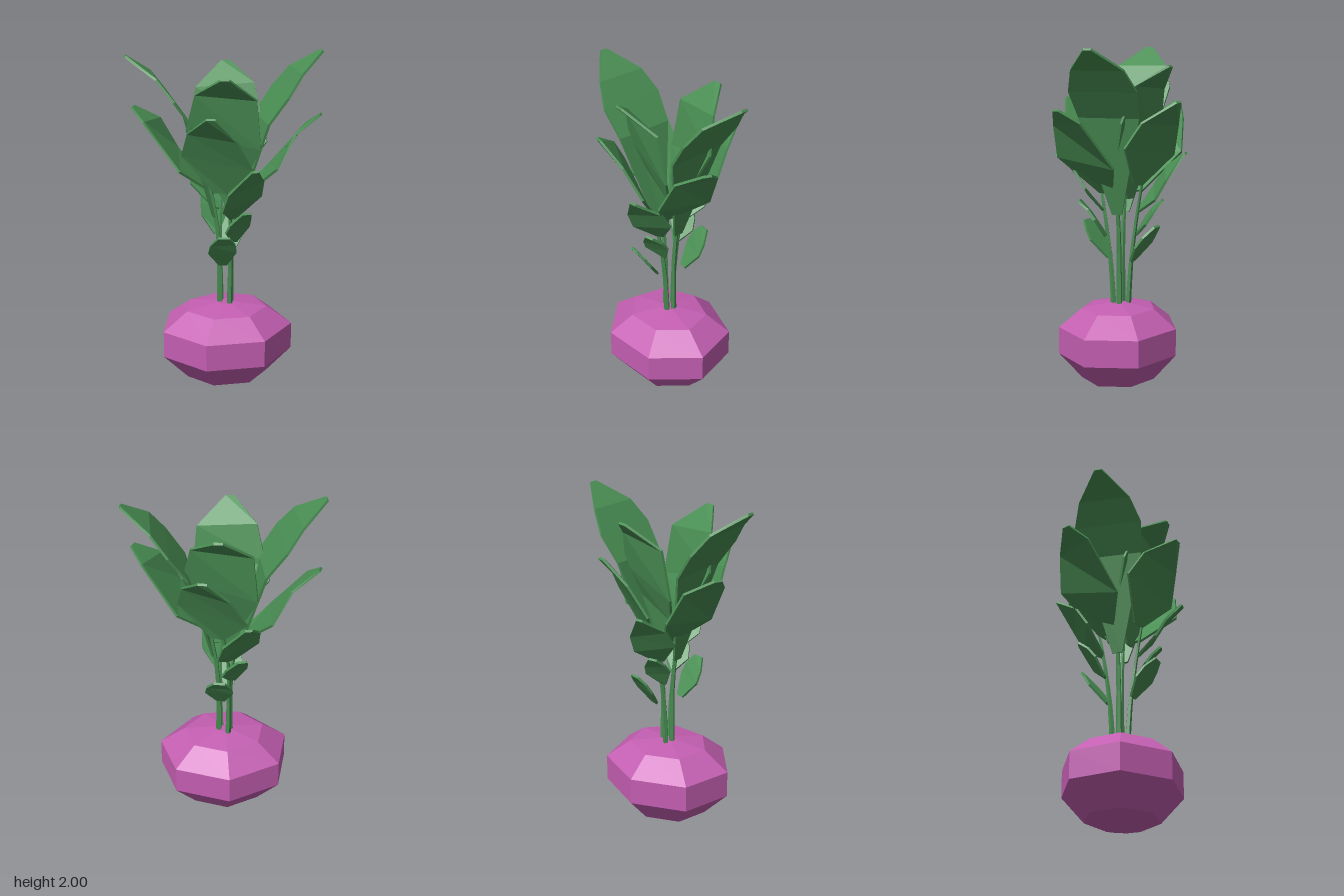
import * as THREE from 'three';

const V = (a) => new THREE.Vector3(...a);
const green = new THREE.MeshStandardMaterial({ color: 0x4a8f54, flatShading: true });
const purple = new THREE.MeshStandardMaterial({ color: 0xc45fb2, flatShading: true });

function part(name, geometry, material) {
  const mesh = new THREE.Mesh(geometry, material);
  mesh.name = name;
  return mesh;
}

// Thin bent leaf; each station is [middle, half-width vector], from base to tip
function leafGeometry(stations, thickness = 0.014) {
  const points = stations.map(([mid]) => V(mid));
  const last = points.length - 1;
  const positions = [], index = [];
  stations.forEach(([, half], i) => {
    const tangent = points[Math.min(i + 1, last)].clone().sub(points[Math.max(i - 1, 0)]);
    const h = V(half);
    const n = h.clone().cross(tangent).setLength(thickness / 2);
    for (const [a, b] of [[1, 1], [-1, 1], [-1, -1], [1, -1]]) {
      positions.push(...points[i].clone().addScaledVector(h, a).addScaledVector(n, b).toArray());
    }
  });
  const quad = (a, b, c, d) => index.push(a, b, c, a, c, d);
  for (let i = 0; i < last; i++) {
    for (let j = 0; j < 4; j++) {
      const a = i * 4 + j, b = i * 4 + (j + 1) % 4;
      quad(a, a + 4, b + 4, b);
    }
  }
  const top = last * 4;
  quad(0, 1, 2, 3);
  quad(top + 3, top + 2, top + 1, top);
  const geometry = new THREE.BufferGeometry();
  geometry.setAttribute('position', new THREE.Float32BufferAttribute(positions, 3));
  geometry.setIndex(index);
  geometry.computeVertexNormals();
  return geometry;
}

// Five-sided stem that thins towards its tip
function stemGeometry(path, rings = 6, sides = 5) {
  const curve = new THREE.CatmullRomCurve3(path.map(V));
  const geometry = new THREE.TubeGeometry(curve, rings, 0.018, sides);
  const position = geometry.attributes.position;
  const p = new THREE.Vector3();
  for (let i = 0; i < position.count; i++) {
    const t = Math.floor(i / (sides + 1)) / rings;
    p.fromBufferAttribute(position, i).lerp(curve.getPointAt(t), 0.55 * t);
    position.setXYZ(i, p.x, p.y, p.z);
  }
  return geometry;
}

// Leaves of one half of the plant
const LEAVES = {
  tallOuterLeaf: [
    [[0.07, 1.045, 0], [0, 0, 0.03]], [[0.215, 1.615, 0], [0, 0, 0.18]], [[0.32, 1.765, 0], [0, 0, 0.2]],
    [[0.41, 1.885, 0], [0, 0, 0.152]], [[0.56, 1.995, 0], [0, 0, 0.022]]],
  lowOuterLeaf: [
    [[0.06, 1.17, 0.07], [0, 0, 0.04]], [[0.255, 1.362, 0.125], [-0.02, 0.028, 0.175]],
    [[0.4, 1.59, 0.18], [-0.06, -0.01, 0.1]], [[0.505, 1.67, 0.2], [-0.01, 0, 0.02]]],
  broadInnerLeaf: [
    [[-0.05, 1.22, 0.12], [0.035, 0, 0.015]], [[-0.085, 1.42, 0.2], [0.185, -0.03, 0.09]],
    [[-0.125, 1.58, 0.272], [0.125, -0.012, 0.07]], [[-0.15, 1.705, 0.385], [0.024, 0, 0.006]]],
  tallInnerLeaf: [
    [[0.02, 1.13, 0.05], [0.03, 0, 0.01]], [[-0.025, 1.37, 0.07], [0.14, -0.04, 0.04]],
    [[-0.035, 1.53, 0.13], [0.205, -0.055, 0.05]], [[-0.03, 1.78, 0.18], [0.168, -0.015, 0.035]],
    [[-0.06, 1.9, 0.312], [0.025, 0, 0.003]]],
  middleLeaf: [
    [[0.03, 1.06, 0.1], [0.024, 0.006, -0.006]], [[0.06, 1.17, 0.19], [0.12, 0.033, -0.035]],
    [[0.07, 1.28, 0.255], [0.108, 0.03, -0.03]], [[0.1, 1.4, 0.362], [0.02, 0, 0]]],
  upperSmallLeaf: [
    [[0.04, 0.91, 0.08], [0.015, 0, 0]], [[0.045, 1.0, 0.14], [0.074, 0.014, -0.02]],
    [[0.055, 1.06, 0.18], [0.063, 0.012, -0.016]], [[0.08, 1.12, 0.23], [0.026, 0, -0.004]]],
  lowerSmallLeaf: [
    [[-0.03, 0.77, 0.08], [0.024, 0, 0.006]], [[-0.045, 0.87, 0.15], [0.078, 0.008, 0.028]],
    [[-0.05, 0.93, 0.19], [0.068, 0.007, 0.022]], [[-0.05, 0.985, 0.235], [0.032, 0, 0.006]]],
};

// Stems of one half: one leaning sideways, one leaning forward
const STEMS = {
  outerStem: [[0.034, 0.48, 0], [0.036, 0.85, 0], [0.075, 1.15, 0], [0.17, 1.47, 0]],
  innerStem: [[0.018, 0.48, 0.038], [0.02, 0.75, 0.055], [0.01, 1.07, 0.1], [-0.02, 1.23, 0.135]],
};

function halfFoliage(name) {
  const group = new THREE.Group();
  group.name = name;
  for (const [label, path] of Object.entries(STEMS)) group.add(part(label, stemGeometry(path), green));
  for (const [label, stations] of Object.entries(LEAVES)) group.add(part(label, leafGeometry(stations), green));
  return group;
}

export function createModel() {
  const model = new THREE.Group();
  model.name = 'rootVegetable';

  // Seven-sided bulb, slightly flattened front to back
  const profile = [[0, 0], [0.2, 0.005], [0.62, 0.055], [1, 0.21], [1, 0.37], [0.62, 0.48], [0.14, 0.508], [0, 0.508]]
    .map(([r, y]) => new THREE.Vector2(r, y));
  const bulb = part('bulb', new THREE.LatheGeometry(profile, 7, Math.PI).scale(0.397, 1, 0.352), purple);
  bulb.position.z = 0.012;
  model.add(bulb);

  // The foliage repeats after half a turn
  const front = halfFoliage('frontFoliage');
  const back = halfFoliage('backFoliage');
  back.rotation.y = Math.PI;
  model.add(front, back);
  return model;
}
